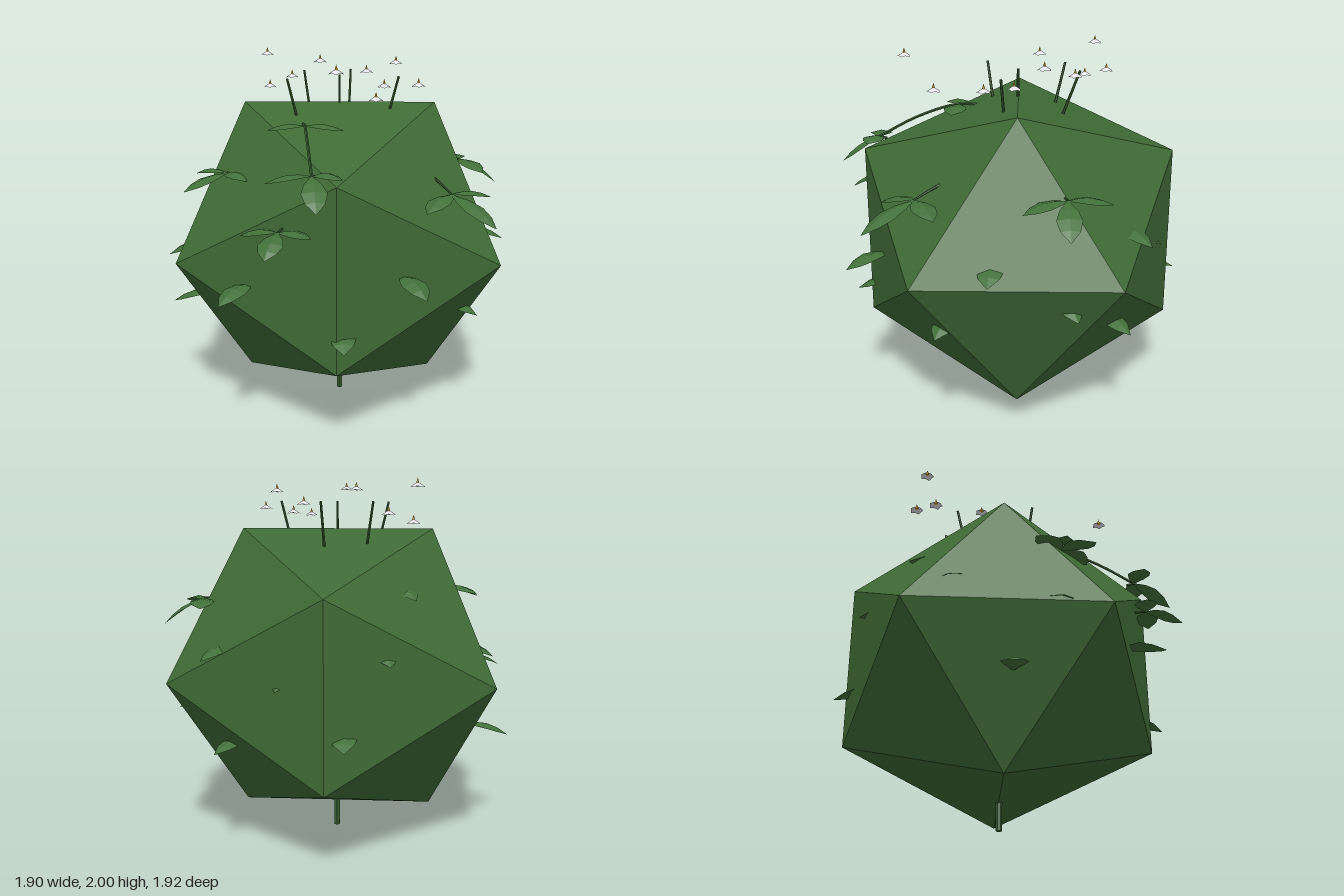
import * as THREE from 'three';

const mat = (name, color, side = THREE.FrontSide) => {
  const m = new THREE.MeshStandardMaterial({ color, side, flatShading: true });
  m.name = name;
  return m;
};
const V = (p) => new THREE.Vector3(...p);

export function createModel() {
  const root = new THREE.Group();
  root.name = 'floweringBush';
  const green = mat('bushGreen', 0x3f6a35);
  const leafGreen = mat('leafGreen', 0x42703a, THREE.DoubleSide);
  const stemGreen = mat('stemGreen', 0x355c2d);
  const white = mat('petalWhite', 0xf0eef5, THREE.DoubleSide);
  const gold = mat('flowerGold', 0xd9a321);

  const add = (name, geometry, material, parent = root) => {
    const mesh = new THREE.Mesh(geometry, material);
    mesh.name = name;
    parent.add(mesh);
    return mesh;
  };

  // Straight rod between two points
  const rod = (name, a, b, r0, r1, parent) => {
    const from = V(a), dir = V(b).sub(from);
    const mesh = add(name, new THREE.CylinderGeometry(r1, r0, dir.length(), 6), stemGreen, parent);
    mesh.position.copy(from).addScaledVector(dir, 0.5);
    mesh.quaternion.setFromUnitVectors(new THREE.Vector3(0, 1, 0), dir.normalize());
  };

  // Pointed leaf, folded along its midrib and arched from base to tip
  const leaf = (baseAt, tipAt, width, arch = 0.02, parent = root) => {
    const base = V(baseAt), tip = V(tipAt);
    const dir = tip.clone().sub(base).normalize();
    const side = dir.clone().cross(new THREE.Vector3(0, 1, 0)).normalize();
    const up = side.clone().cross(dir);
    const pos = [], index = [];
    const rows = [[0, 0.08], [0.25, 0.7], [0.5, 1], [0.75, 0.75], [1, 0.01]];
    rows.forEach(([t, w], i) => {
      for (const s of [-1, 0, 1]) {
        const lift = arch * Math.sin(Math.PI * t) - Math.abs(s) * w * width * 0.12;
        const p = base.clone().lerp(tip, t)
          .addScaledVector(side, s * w * width / 2).addScaledVector(up, lift);
        pos.push(p.x, p.y, p.z);
      }
      if (i === rows.length - 1) return;
      for (const k of [0, 1]) {
        const a = i * 3 + k;
        index.push(a, a + 1, a + 4, a, a + 4, a + 3);
      }
    });
    const g = new THREE.BufferGeometry();
    g.setAttribute('position', new THREE.Float32BufferAttribute(pos, 3));
    g.setIndex(index);
    g.computeVertexNormals();
    add('leaf', g, leafGreen, parent);
  };

  // Faceted foliage body
  const body = add('foliageBody', new THREE.IcosahedronGeometry(1, 0), green);
  body.scale.set(1.008, 0.929, 1.01);
  body.position.set(0.022, 0.94, -0.05);

  // Trunk
  rod('trunk', [0.025, 0, -0.047], [0.022, 0.6, -0.047], 0.017, 0.023);

  // Upright stems fanning out of the top
  const stems = [
    [[-0.17, 1.5, 0.075], [-0.258, 1.875, 0.13]],
    [[-0.13, 1.5, -0.22], [-0.188, 1.88, -0.31]],
    [[0.022, 1.5, -0.047], [0.022, 1.88, -0.047]],
    [[0.068, 1.5, -0.24], [0.083, 1.88, -0.38]],
    [[0.25, 1.5, 0.01], [0.347, 1.88, 0.037]],
  ];
  stems.forEach(([a, b]) => rod('stem', a, b, 0.009, 0.007));

  // Three-leaf sprigs: petiole start, joint, leaf tips
  const sprigs = [
    [[-0.09, 1.46, 0.7], [-0.1, 1.47, 0.74], [[-0.33, 1.435, 0.76], [0.05, 1.46, 0.79], [-0.07, 1.33, 0.955]]],
    [[-0.22, 1.2, 0.62], [-0.27, 1.19, 0.76], [[-0.46, 1.165, 0.73], [-0.1, 1.17, 0.81], [-0.32, 1.1, 0.955]]],
    [[-0.5, 1.42, 0.12], [-0.58, 1.385, 0.26], [[-0.77, 1.35, 0.1], [-0.79, 1.31, 0.41], [-0.46, 1.37, 0.41]]],
    [[0.53, 1.38, 0.34], [0.61, 1.32, 0.47], [[0.83, 1.28, 0.35], [0.47, 1.26, 0.66], [0.81, 1.2, 0.71]]],
    [[0.6, 1.38, -0.24], [0.73, 1.36, -0.3], [[0.7, 1.33, -0.53], [0.95, 1.22, -0.31], [0.84, 1.32, -0.08]]],
  ];
  sprigs.forEach(([start, joint, tips]) => {
    const g = new THREE.Group();
    g.name = 'leafSprig';
    root.add(g);
    rod('petiole', start, joint, 0.008, 0.005, g);
    tips.forEach((tip) => leaf(joint, tip, 0.13, 0.025, g));
  });

  // Arching branch on the upper front with a leaf pair
  const arc = new THREE.CatmullRomCurve3([
    [-0.17, 1.64, 0.18], [-0.155, 1.645, 0.3], [-0.13, 1.58, 0.52], [-0.1, 1.465, 0.75],
  ].map(V));
  add('archingBranch', new THREE.TubeGeometry(arc, 10, 0.008, 5), stemGreen);
  leaf([-0.155, 1.645, 0.29], [-0.355, 1.625, 0.32], 0.13);
  leaf([-0.155, 1.645, 0.29], [0.05, 1.625, 0.32], 0.13);

  // Single leaves whose tips emerge from the body
  const tips = [
    [-0.57, 0.81, 0.79], [0.465, 0.875, 0.865], [0.06, 0.595, 0.885],
    [-0.955, 0.555, -0.02], [-0.915, 0.92, 0.24], [0.945, 0.98, 0.09],
    [0.87, 0.765, -0.36], [0.78, 0.62, 0.37], [0.66, 1.09, -0.735],
    [0.62, 0.58, -0.65], [0.27, 0.96, -0.84], [-0.08, 0.69, -0.965],
    [-0.3, 1.09, -0.835], [-0.42, 1.385, -0.57], [-0.83, 1.07, -0.36],
  ];
  tips.forEach(([x, y, z]) => {
    const r = Math.hypot(x, z), k = (r - 0.25) / r;
    leaf([x * k, y + 0.06, z * k], [x, y, z], 0.14, 0.035);
  });

  // Small five-petalled flowers hovering above the top
  const star = new THREE.CylinderGeometry(0.001, 0.04, 0.026, 10, 1, true);
  const sp = star.attributes.position;
  for (let i = 0; i < sp.count; i++) {
    if (sp.getY(i) > 0) continue;
    const inner = Math.round(Math.atan2(sp.getX(i), sp.getZ(i)) / (Math.PI / 5)) % 2 !== 0;
    const k = inner ? 0.8 : 1;
    sp.setXYZ(i, sp.getX(i) * k, inner ? -0.007 : -0.013, sp.getZ(i) * k);
  }
  star.computeVertexNormals();
  const centre = new THREE.ConeGeometry(0.011, 0.034, 5);
  const flowers = [
    [-0.418, 1.953, -0.49], [-0.4, 1.767, -0.435], [-0.275, 1.814, -0.55], [0.175, 1.862, -0.35],
    [-0.09, 1.937, -0.165], [0.34, 1.927, -0.185], [0.27, 1.811, -0.03], [0.45, 1.833, 0.12],
    [0.215, 1.79, 0.395], [0.015, 1.943, 0.57],
  ];
  flowers.forEach((p) => {
    const g = new THREE.Group();
    g.name = 'flower';
    g.position.set(...p);
    root.add(g);
    add('petals', star, white, g).position.y = 0.013;
    add('flowerCentre', centre, gold, g).position.y = 0.03;
  });

  return root;
}
